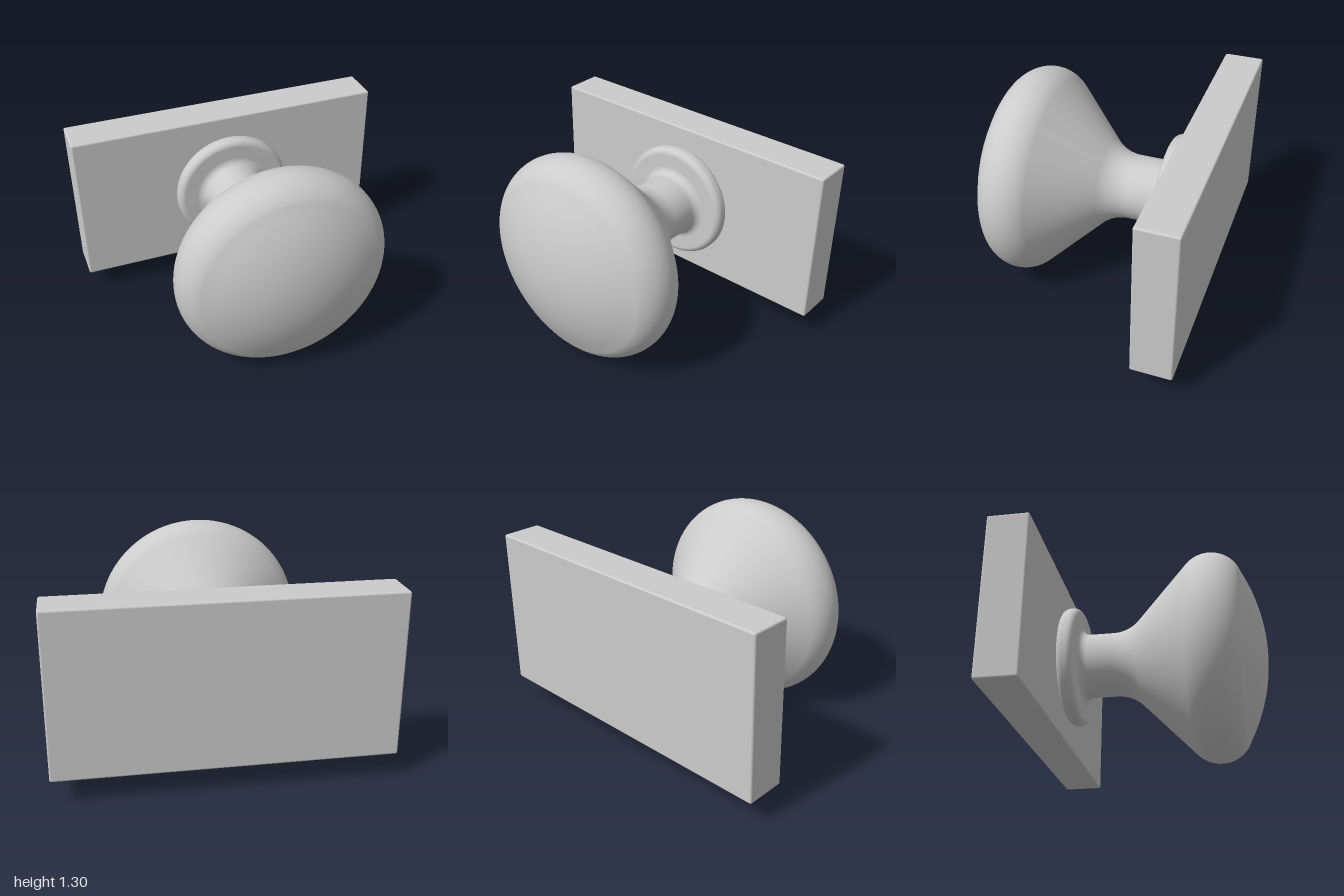
import * as THREE from 'three';
import { RoundedBoxGeometry } from 'three/addons/geometries/RoundedBoxGeometry.js';

const AXIS_Y = 0.65; // height of the knob axis
const rad = THREE.MathUtils.degToRad;

// Points (radius, z) on an arc; angle 0 points outward, 90 points to the front
function arc(r, z, size, from, to, steps) {
  return Array.from({ length: steps + 1 }, (_, i) => {
    const a = rad(from + (to - from) * i / steps);
    return new THREE.Vector2(Math.max(0, r + size * Math.cos(a)), z + size * Math.sin(a));
  });
}

// Profile turned around the z axis
function turned(name, points, material) {
  const mesh = new THREE.Mesh(new THREE.LatheGeometry(points, 96).rotateX(Math.PI / 2), material);
  mesh.name = name;
  mesh.position.y = AXIS_Y;
  return mesh;
}

export function createModel() {
  const group = new THREE.Group();
  group.name = 'doorKnob';
  const material = new THREE.MeshStandardMaterial({ color: 0xcccccc });

  // Mounting plate with slightly softened edges
  const plate = new THREE.Mesh(new RoundedBoxGeometry(2, 0.995, 0.248, 3, 0.012), material);
  plate.name = 'mountingPlate';
  plate.position.set(0, AXIS_Y, -0.624);
  group.add(plate);

  // Collar: a flat disc with a rounded rim
  group.add(turned('collar', [
    new THREE.Vector2(0, -0.505),
    new THREE.Vector2(0.325, -0.505),
    ...arc(0.333, -0.46, 0.04, -90, 0, 8),
    ...arc(0.333, -0.44, 0.04, 0, 90, 8),
    new THREE.Vector2(0.24, -0.4),
    new THREE.Vector2(0, -0.4),
  ], material));

  // Knob: base fillet, neck, flared cone, round rim and shallow dome
  group.add(turned('knob', [
    ...arc(0.25, -0.35, 0.05, 270, 180, 8),
    ...arc(0.441, -0.2, 0.241, 180, 135, 12),
    ...arc(0.45, 0.43, 0.2, -45, 59.2, 24),
    ...arc(0, -0.33, 1.08, 59.8, 90, 20).slice(1),
  ], material));

  return group;
}
